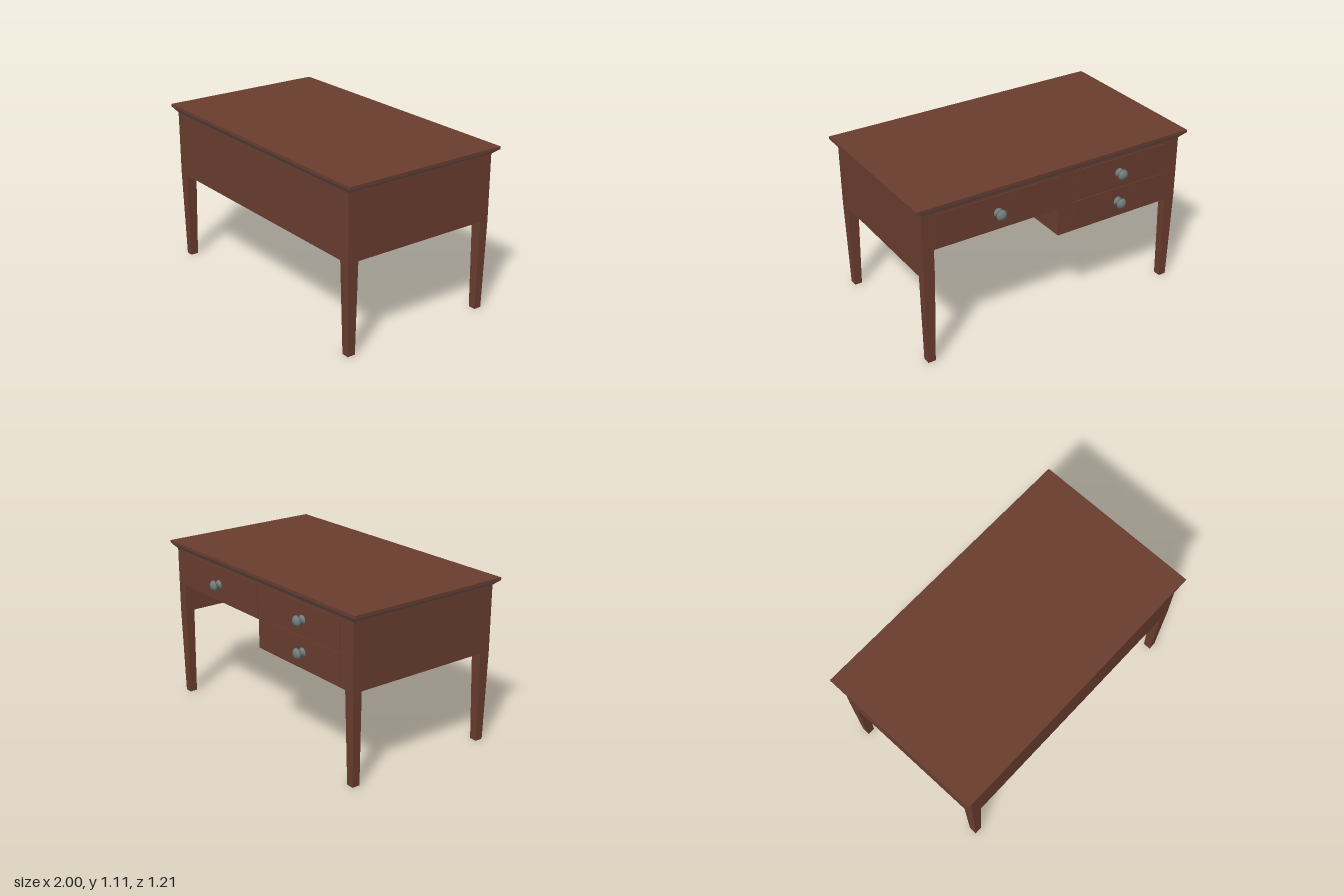
import * as THREE from 'three';

const wood = new THREE.MeshStandardMaterial({ color: 0x6a3d2f });
wood.name = 'brown wood';
const trim = new THREE.MeshStandardMaterial({ color: 0x75605a });
trim.name = 'grey brown trim';
const metal = new THREE.MeshStandardMaterial({ color: 0x707b7b });
metal.name = 'grey metal';

// Box between two horizontal rectangles [x0, x1, z0, z1] at heights y0 and y1
function taper(name, material, y0, low, y1, high = low) {
  const g = new THREE.BoxGeometry(1, 1, 1).toNonIndexed();
  const p = g.attributes.position;
  for (let i = 0; i < p.count; i++) {
    const up = p.getY(i) > 0;
    const r = up ? high : low;
    p.setXYZ(i, p.getX(i) < 0 ? r[0] : r[1], up ? y1 : y0, p.getZ(i) < 0 ? r[2] : r[3]);
  }
  g.computeVertexNormals();
  const mesh = new THREE.Mesh(g, material);
  mesh.name = name;
  return mesh;
}

export function createModel() {
  const desk = new THREE.Group();
  desk.name = 'desk';
  const bottom = 0.617, top = 1.058, back = -0.535, front = 0.578;

  // Table top with sloped moulding below
  desk.add(
    taper('tableTop', wood, 1.092, [-1, 1, -0.565, 0.605], 1.112),
    taper('moulding', trim, top, [-0.955, 0.955, back, front], 1.092, [-0.998, 0.998, -0.563, 0.603])
  );

  // Drawer cabinet, kneehole drawer case and the panels around the kneehole
  desk.add(
    taper('cabinet', wood, bottom, [-0.955, -0.01, back, front], top),
    taper('kneeholeCase', wood, 0.81, [-0.01, 0.955, back, front], top),
    taper('frontPanel', wood, bottom, [-0.01, 0.955, 0.505, front], 0.81),
    taper('sidePanel', wood, bottom, [0.88, 0.955, back, 0.505], 0.81)
  );

  // Tapered legs
  for (const s of [-1, 1]) {
    const xs = (a, b) => (s > 0 ? [a, b] : [-b, -a]);
    const low = xs(0.893, 0.945), high = xs(0.88, 0.955);
    desk.add(
      taper('frontLeg', wood, 0, [...low, 0.514, 0.568], bottom, [...high, 0.503, front]),
      taper('backLeg', wood, 0, [...low, -0.525, -0.472], bottom, [...high, back, -0.472])
    );
  }

  // Drawer fronts, slightly proud of the back face
  const face = back - 0.005;
  desk.add(
    taper('wideDrawer', wood, 0.812, [-0.005, 0.88, face, back], 1.043),
    taper('upperDrawer', wood, 0.852, [-0.833, -0.115, face, back], 1.043),
    taper('lowerDrawer', wood, 0.632, [-0.833, -0.115, face, back], 0.825)
  );

  // Turned knobs
  const profile = [[0.031, 0], [0.029, 0.005], [0.021, 0.012], [0.02, 0.036], [0.037, 0.038],
    [0.035, 0.046], [0.027, 0.056], [0.015, 0.062], [0, 0.065]].map(([r, y]) => new THREE.Vector2(r, y));
  const knobGeometry = new THREE.LatheGeometry(profile, 20).rotateX(-Math.PI / 2);
  for (const [x, y] of [[0.437, 0.927], [-0.474, 0.938], [-0.474, 0.729]]) {
    const knob = new THREE.Mesh(knobGeometry, metal);
    knob.name = 'knob';
    knob.position.set(x, y, face);
    desk.add(knob);
  }
  return desk;
}
